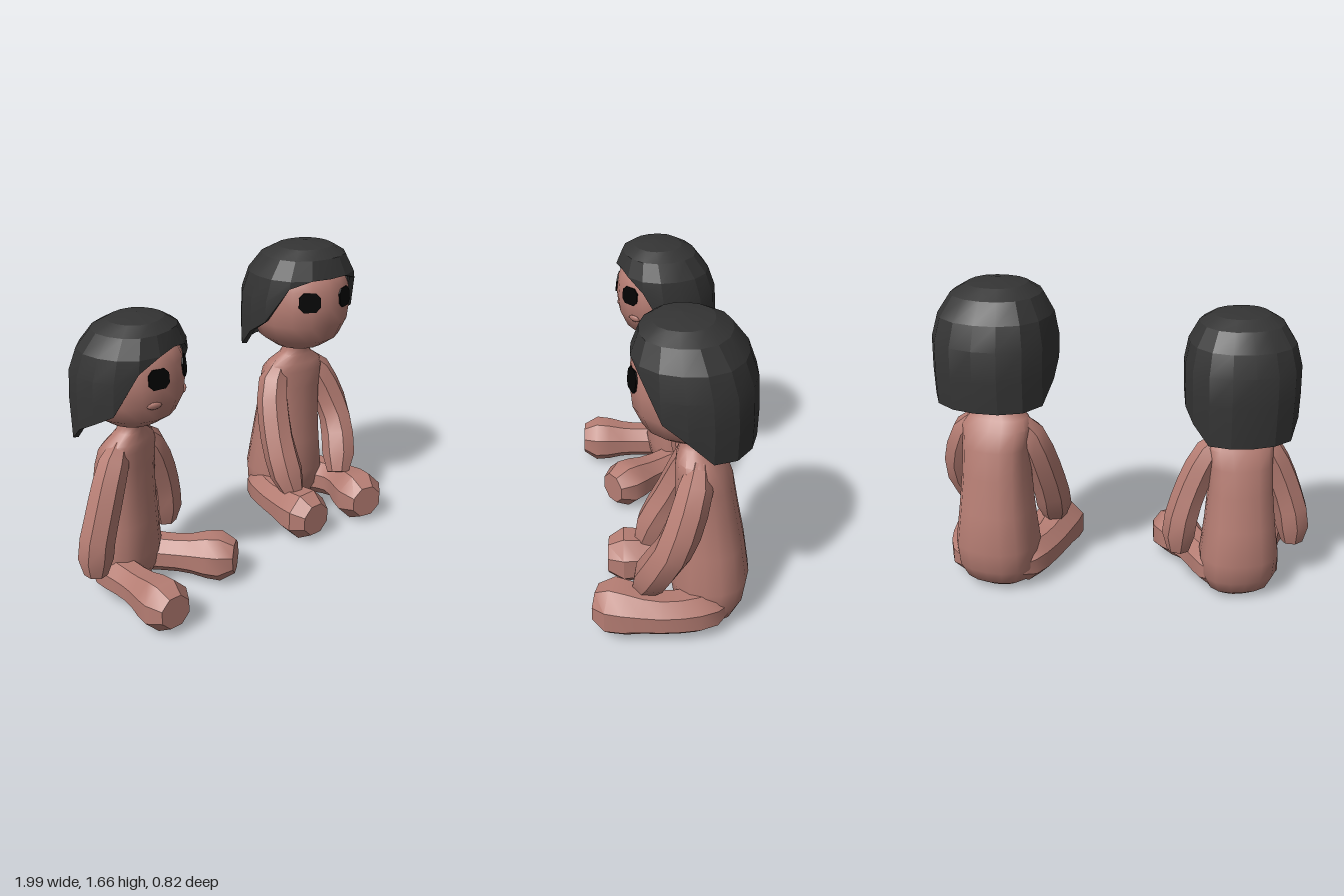
import * as THREE from 'three';
import { toCreasedNormals } from 'three/addons/utils/BufferGeometryUtils.js';

const flat = (name, color) => Object.assign(new THREE.MeshStandardMaterial({ color }), { name });

// Joins rings of points into a closed skin; rings advance along U x V of their own plane.
function loft(rings, crease) {
  const pos = [], ab = new THREE.Vector3(), ac = new THREE.Vector3();
  const tri = (a, b, c) => {
    if (ab.subVectors(b, a).cross(ac.subVectors(c, a)).length() < 1e-8) return;
    for (const p of [a, b, c]) pos.push(p.x, p.y, p.z);
  };
  for (let i = 0; i < rings.length - 1; i++) {
    const n = rings[i].length;
    for (let j = 0; j < n; j++) {
      const k = (j + 1) % n;
      tri(rings[i][j], rings[i][k], rings[i + 1][k]);
      tri(rings[i][j], rings[i + 1][k], rings[i + 1][j]);
    }
  }
  const g = new THREE.BufferGeometry();
  g.setAttribute('position', new THREE.Float32BufferAttribute(pos, 3));
  return toCreasedNormals(g, crease);
}

// Faceted limb along a curve, with a radius for each evenly spaced ring.
function limb(points, radii, sides = 7) {
  const curve = new THREE.CatmullRomCurve3(points.map(p => new THREE.Vector3(...p)));
  const rings = [];
  const ringAt = (t, r) => {
    const c = curve.getPointAt(t), d = curve.getTangentAt(t);
    const ref = Math.abs(d.y) > 0.7 ? new THREE.Vector3(0, 0, 1) : new THREE.Vector3(0, 1, 0);
    const u = ref.addScaledVector(d, -ref.dot(d)).normalize();
    const v = new THREE.Vector3().crossVectors(d, u);
    rings.push(Array.from({ length: sides }, (_, j) => {
      const a = (j + 0.5) / sides * Math.PI * 2;
      return c.clone().addScaledVector(u, r * Math.cos(a)).addScaledVector(v, r * Math.sin(a));
    }));
  };
  ringAt(0, 0);
  radii.forEach((r, i) => ringAt(i / (radii.length - 1), r));
  ringAt(1, 0);
  return loft(rings, 0.6);
}

// Torso cross-sections: height, half width, back z, front z
const TORSO = [
  [0.01, 0, -0.11, -0.11], [0.01, 0.11, -0.18, -0.03], [0.05, 0.18, -0.235, 0.05], [0.13, 0.22, -0.27, 0.09],
  [0.25, 0.225, -0.287, 0.11], [0.45, 0.2, -0.257, 0.1], [0.65, 0.183, -0.217, 0.09], [0.8, 0.18, -0.19, 0.09],
  [0.9, 0.188, -0.15, 0.09], [0.95, 0.165, -0.11, 0.085], [1.0, 0.095, -0.07, 0.07], [1.03, 0.078, -0.06, 0.07],
  [1.12, 0.075, -0.06, 0.075],
];
function torso() {
  return loft(TORSO.map(([y, rx, b, f]) => Array.from({ length: 16 }, (_, j) => {
    const a = j / 16 * Math.PI * 2, square = 1 + 0.07 * Math.sin(2 * a) ** 2;
    return new THREE.Vector3(square * rx * Math.sin(a), y, (b + f) / 2 + square * (f - b) / 2 * Math.cos(a));
  })), 0.8);
}

// Head profile around its centre: radius, height
const HEAD = [[0, -0.27], [0.14, -0.26], [0.225, -0.2], [0.27, -0.1], [0.28, 0],
  [0.27, 0.1], [0.24, 0.17], [0.15, 0.22], [0, 0.24]];
const HEAD_Y = 1.33, HEAD_Z = 0.022, HEAD_DEPTH = 1.03;

// Hair outline: height, radius, forward shift
const HAIR = [[1.67, 0, 0.07], [1.645, 0.15, 0.06], [1.6, 0.225, 0.05], [1.5, 0.285, 0.03],
  [1.38, 0.312, 0.012], [1.22, 0.31, 0], [0.97, 0.303, 0]];
function hairAt(y) {
  const i = Math.max(1, HAIR.findIndex(p => y >= p[0]));
  const [y0, r0, z0] = HAIR[i - 1], [y1, r1, z1] = HAIR[i];
  const t = (y0 - y) / (y0 - y1);
  return [r0 + (r1 - r0) * t, z0 + (z1 - z0) * t];
}

// Hair shell, slightly square in plan; hem gives the lower edge from the fringe round to the back.
function hair(hem) {
  const ring = (y, inset) => Array.from({ length: 16 }, (_, j) => {
    const a = j / 16 * Math.PI * 2, h = Math.max(y, hem[Math.min(j, 16 - j)]);
    const [radius, shift] = hairAt(h);
    const r = Math.max(0, radius - inset) * (1 + 0.045 * Math.sin(2 * a) ** 2);
    return new THREE.Vector3(1.03 * r * Math.sin(a), h - (h > 1.6 ? inset : 0), shift + 0.95 * r * Math.cos(a));
  });
  const ys = HAIR.map(p => p[0]);
  return loft([...ys.map(y => ring(y, 0.028)), ...ys.reverse().map(y => ring(y, 0))], 0.3);
}

// Eye plate: a rectangle with cut corners
function eyePlate() {
  const w = 0.06, h = 0.053, c = 0.026;
  const corners = [[w, h - c], [w - c, h], [c - w, h], [-w, h - c], [-w, c - h], [c - w, -h], [w - c, -h], [w, c - h]];
  const shape = new THREE.Shape(corners.map(p => new THREE.Vector2(...p)));
  return new THREE.ExtrudeGeometry(shape, { depth: 0.008, bevelEnabled: false });
}

function doll(name, mats, pose) {
  const g = new THREE.Group();
  g.name = name;
  const add = (part, geo, mat) => {
    const m = new THREE.Mesh(geo, mat);
    m.name = part;
    g.add(m);
    return m;
  };
  add('torso', torso(), mats.skin);

  // Head and hair
  const headGeo = new THREE.LatheGeometry(HEAD.map(p => new THREE.Vector2(...p)), 16);
  const head = add('head', toCreasedNormals(headGeo, 0.8), mats.skin);
  head.position.set(0, HEAD_Y, HEAD_Z);
  head.scale.z = HEAD_DEPTH;
  add('hair', hair(pose.hem), mats.hair);

  // Eyes and cheeks, set round the face
  const onFace = (mesh, angle, y, r, tilt) => {
    mesh.position.set(r * Math.sin(angle), y, HEAD_Z + r * HEAD_DEPTH * Math.cos(angle));
    mesh.rotation.set(tilt, angle, 0, 'YXZ');
  };
  for (const s of [1, -1]) {
    const side = s > 0 ? 'left' : 'right';
    onFace(add(side + 'Eye', eyePlate(), mats.eye), s * 0.45, 1.378, 0.27, -0.12);
    if (pose.cheeks) {
      const cheek = new THREE.SphereGeometry(1, 8, 6).scale(0.042, 0.021, 0.012);
      onFace(add(side + 'Cheek', cheek, mats.skin), s * 0.55, 1.236, 0.269, 0.25);
    }
  }

  // Limbs
  const armR = [0.05, 0.085, 0.092, 0.095, 0.096, 0.099, 0.099, 0.066];
  const legR = [0.07, 0.115, 0.118, 0.113, 0.112, 0.12, 0.14, 0.148, 0.098];
  add('leftArm', limb(pose.leftArm, armR), mats.skin);
  add('rightArm', limb(pose.rightArm, armR), mats.skin);
  add('leftLeg', limb(pose.leftLeg, legR, 8), mats.skin);
  add('rightLeg', limb(pose.rightLeg, legR, 8), mats.skin);
  return g;
}

const mirror = path => path.map(([x, y, z]) => [-x, y, z]);

export function createModel() {
  const mats = { skin: flat('skin', 0xb57d73), hair: flat('hair', 0x343434), eye: flat('eye', 0x020202) };
  const model = new THREE.Group();
  model.name = 'seatedDolls';

  // Taller doll, hands resting forward on the legs
  const tall = doll('tallDoll', mats, {
    hem: [1.5, 1.5, 1.46, 1.26, 1.18, 1.07, 1.06, 1.06, 1.06],
    leftArm: [[0.1, 0.94, -0.03], [0.18, 0.84, -0.02], [0.265, 0.58, 0.055], [0.235, 0.4, 0.15], [0.185, 0.25, 0.22]],
    rightArm: [[-0.1, 0.94, -0.01], [-0.165, 0.84, 0.015], [-0.21, 0.57, 0.12], [-0.21, 0.4, 0.2], [-0.19, 0.25, 0.265]],
    leftLeg: [[0.11, 0.13, -0.17], [0.2, 0.135, -0.02], [0.25, 0.145, 0.13], [0.215, 0.145, 0.455]],
    rightLeg: [[-0.11, 0.13, -0.17], [-0.17, 0.135, 0], [-0.2, 0.145, 0.16], [-0.165, 0.145, 0.46]],
  });
  tall.position.set(0.66, 0, -0.115);
  tall.rotation.y = -0.23;

  // Shorter doll, arms hanging and legs spread
  const arm = [[0.1, 0.94, -0.005], [0.18, 0.84, 0], [0.285, 0.6, -0.005], [0.335, 0.42, -0.02], [0.345, 0.255, -0.025]];
  const leg = [[0.11, 0.15, -0.17], [0.17, 0.15, 0.05], [0.32, 0.16, 0.475]];
  const short = doll('shortDoll', mats, {
    hem: [1.52, 1.5, 1.43, 1.2, 1.14, 1.08, 0.985, 0.985, 0.985],
    cheeks: true,
    leftArm: arm, rightArm: mirror(arm), leftLeg: leg, rightLeg: mirror(leg),
  });
  short.position.set(-0.605, 0, -0.12);
  short.rotation.y = 0.24;
  short.scale.setScalar(0.922);

  model.add(tall, short);
  return model;
}
